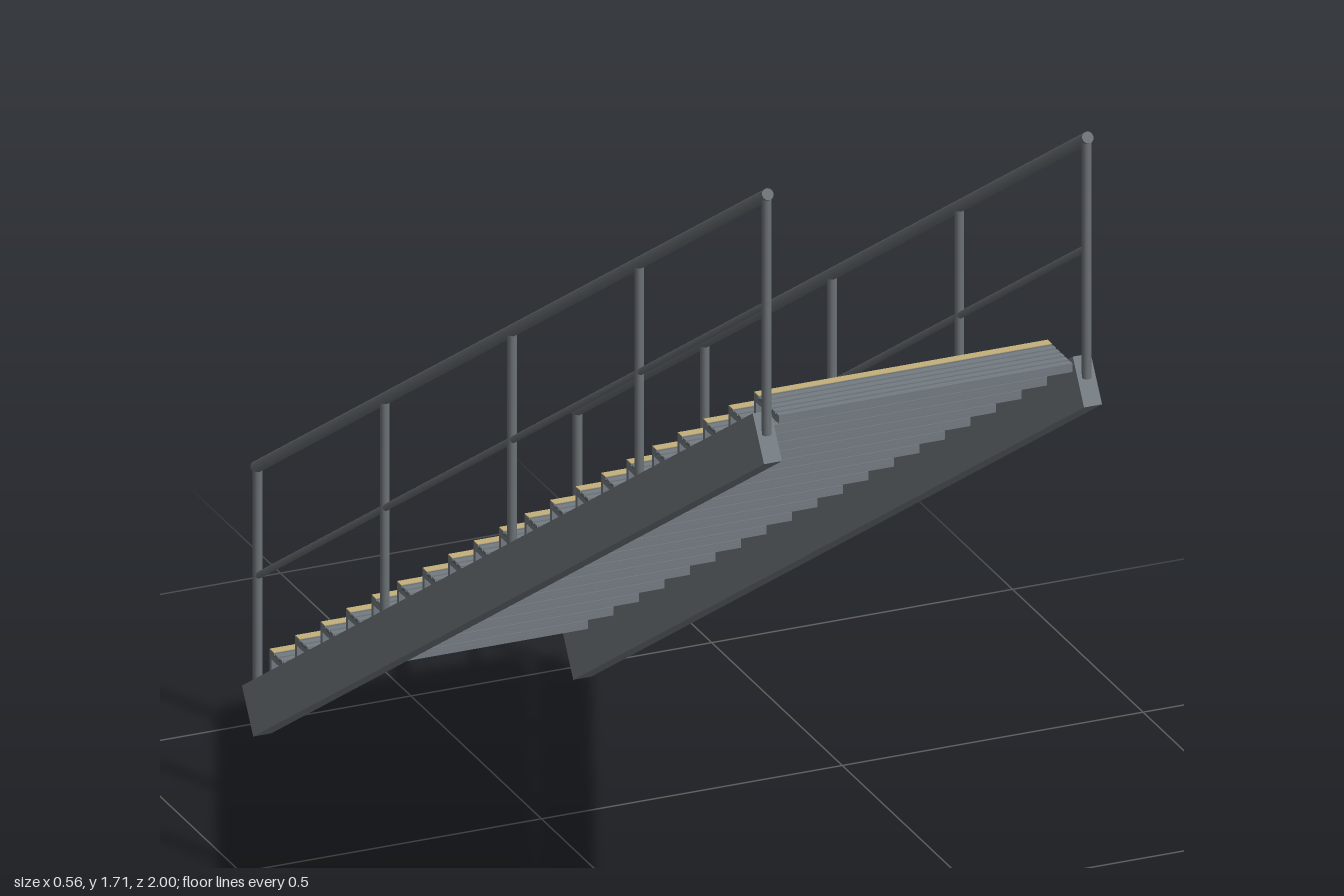
import * as THREE from 'three';

const SLOPE = 0.643, ANGLE = Math.atan(SLOPE);
const STEPS = 20, GOING = 0.0977, RISE = 0.0627;
const TREAD_W = 0.488, TREAD_D = 0.096, SIDE_X = 0.266;

const mat = (name, color) => {
  const m = new THREE.MeshStandardMaterial({ color });
  m.name = name;
  return m;
};

export function createModel() {
  const steel = mat('steel', 0x747c82);
  const railSteel = mat('rail steel', 0x6c7276);
  const darkSteel = mat('dark grooves', 0x3c4246);
  const yellow = mat('nosing yellow', 0xc4b07a);

  const box = (parent, name, material, size, pos) => {
    const m = new THREE.Mesh(new THREE.BoxGeometry(...size), material);
    m.name = name;
    m.position.set(...pos);
    parent.add(m);
    return m;
  };

  // round bar between two points
  const bar = (parent, name, r, a, b) => {
    const va = new THREE.Vector3(...a), vb = new THREE.Vector3(...b);
    const dir = vb.clone().sub(va);
    const m = new THREE.Mesh(new THREE.CylinderGeometry(r, r, dir.length(), 12), railSteel);
    m.name = name;
    m.position.copy(va).add(vb).multiplyScalar(0.5);
    m.quaternion.setFromUnitVectors(new THREE.Vector3(0, 1, 0), dir.normalize());
    parent.add(m);
  };

  const model = new THREE.Group();
  model.name = 'staircase';

  // treads: ribbed slab with a deep front plate and coloured nosing
  for (let i = 0; i < STEPS; i++) {
    const tread = new THREE.Group();
    tread.name = 'tread';
    tread.position.set(0, 0.13 + i * RISE, -0.98 + i * GOING); // top of the nosing edge
    box(tread, 'deck', steel, [TREAD_W, 0.009, TREAD_D], [0, -0.0095, TREAD_D / 2]);
    box(tread, 'frontPlate', steel, [TREAD_W, 0.03, 0.008], [0, -0.029, 0.004]);
    box(tread, 'grooves', darkSteel, [TREAD_W, 0.001, TREAD_D - 0.022], [0, -0.0045, 0.018 + (TREAD_D - 0.022) / 2]);
    box(tread, 'nosingBase', steel, [TREAD_W, 0.005, 0.018], [0, -0.0025, 0.009]);
    box(tread, 'nosing', yellow, [TREAD_W, 0.002, 0.016], [0, 0, 0.009]);
    for (let k = 0; k < 5; k++) {
      box(tread, 'rib', steel, [TREAD_W, 0.005, 0.0115], [0, -0.0025, 0.0275 + k * 0.0156]);
    }
    model.add(tread);
  }

  for (const s of [-1, 1]) {
    const x = s * SIDE_X;
    // sloping side beam
    const beam = box(model, 'stringer', steel, [0.03, 0.08, 2.326], [x, 0.6625, 0]);
    beam.rotation.x = -ANGLE;

    // handrail with middle rail and five posts
    const railing = new THREE.Group();
    railing.name = 'railing';
    const rail = (name, r, y, end) =>
      bar(railing, name, r, [x, y - SLOPE * end, -end], [x, y + SLOPE * end, end]);
    rail('handrail', 0.0095, 1.068, 0.98);
    rail('middleRail', 0.0055, 0.885, 0.975);
    for (let k = -2; k <= 2; k++) {
      const z = k * 0.4875;
      const foot = k === 2 ? 1.295 : 0.69 + SLOPE * z;
      bar(railing, 'post', 0.0075, [x, foot, z], [x, 1.068 + SLOPE * z, z]);
    }
    model.add(railing);
  }
  return model;
}
